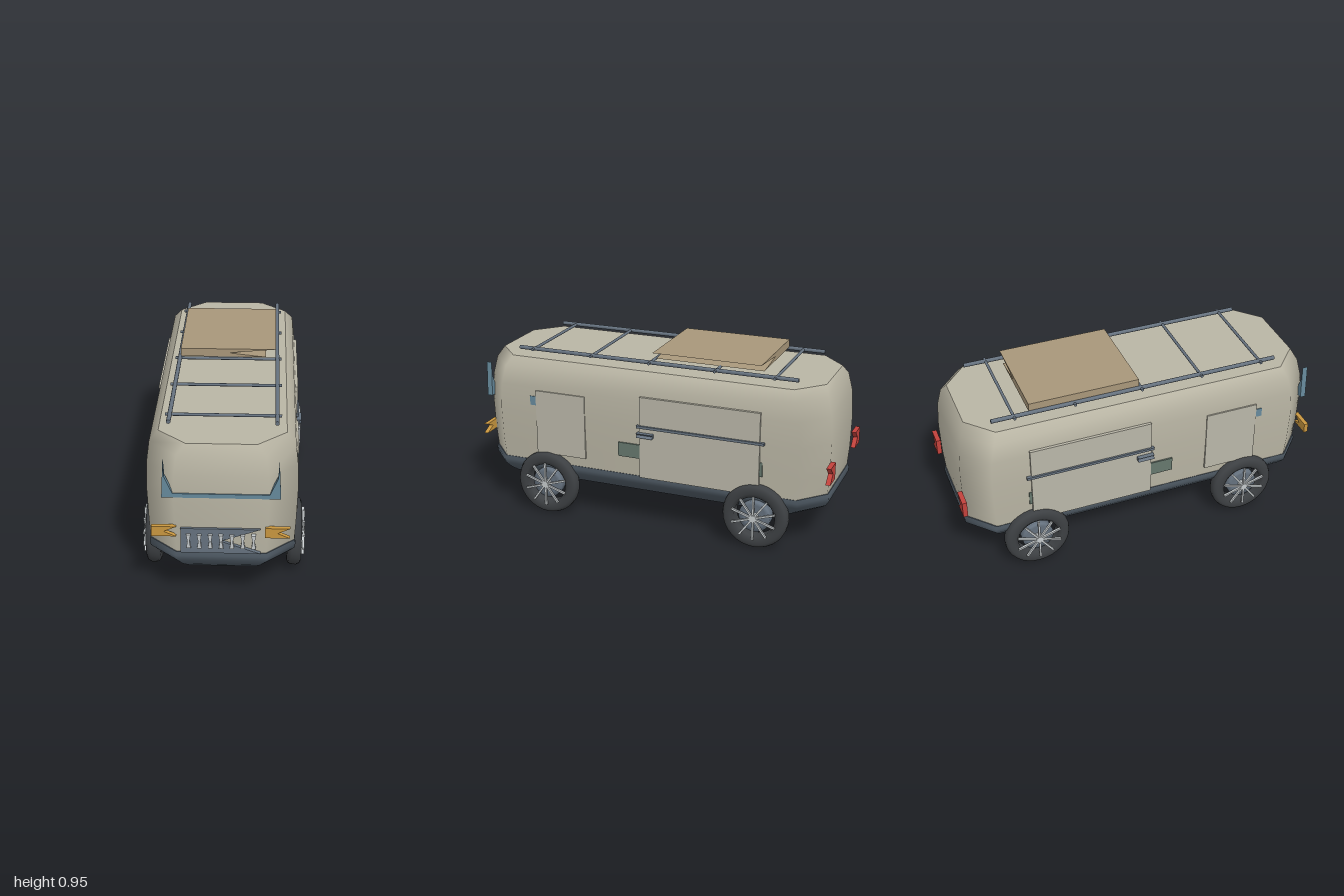
import * as THREE from 'three';

const mat = (color) => new THREE.MeshStandardMaterial({ color, roughness: 0.75, side: THREE.DoubleSide });
const M = {
  body: mat(0xb9b5a4), door: mat(0xb9b6a8), dark: mat(0x4d5862), metal: mat(0x66727f),
  tyre: mat(0x3d4043), spoke: mat(0xc4c9cb), glass: mat(0x66899b), amber: mat(0xc8963f),
  red: mat(0xc2423c), panel: mat(0xa8977a), vent: mat(0x66776d),
};

function add(parent, name, geometry, material, x = 0, y = 0, z = 0) {
  const mesh = new THREE.Mesh(geometry, material);
  mesh.name = name;
  mesh.position.set(x, y, z);
  parent.add(mesh);
  return mesh;
}

// Box given by its limits on each axis
function box(parent, name, material, x0, x1, y0, y1, z0, z1) {
  return add(parent, name, new THREE.BoxGeometry(x1 - x0, y1 - y0, z1 - z0), material,
    (x0 + x1) / 2, (y0 + y1) / 2, (z0 + z1) / 2);
}

// Outline in the xy plane, extruded from z0 to z1
function slab(points, z0, z1) {
  const shape = new THREE.Shape(points.map(([x, y]) => new THREE.Vector2(x, y)));
  return new THREE.ExtrudeGeometry(shape, { depth: z1 - z0, bevelEnabled: false }).translate(0, 0, z0);
}

// Plate whose +x end is notched to its middle
function fishtail(parent, name, material, x0, x1, y0, y1, z0, z1) {
  const tip = [(x0 + x1) / 2, (y0 + y1) / 2];
  return add(parent, name, slab([[x0, y0], [x1, y0], tip, [x1, y1], [x0, y1]], z0, z1), material);
}

// Stack of chamfered rectangles [y, halfWidth, halfLength], capped flat at both ends
function loft(rings) {
  const pos = [], idx = [], cx = 0.14, cz = 0.13, n = 8;
  const ring = ([y, w, l]) => {
    for (const [x, z] of [[w, l - cz], [w - cx, l], [cx - w, l], [-w, l - cz],
      [-w, cz - l], [cx - w, -l], [w - cx, -l], [w, cz - l]]) pos.push(x, y, z);
  };
  rings.forEach(ring);
  for (let r = 0; r < rings.length - 1; r++) {
    for (let i = 0; i < n; i++) {
      const a = r * n + i, b = r * n + (i + 1) % n;
      idx.push(a, a + n, b, b, a + n, b + n);
    }
  }
  for (const top of [false, true]) {
    const s = pos.length / 3;
    ring(top ? rings[rings.length - 1] : rings[0]);
    for (let i = 1; i < n - 1; i++) idx.push(s, s + (top ? i + 1 : i), s + (top ? i : i + 1));
  }
  const g = new THREE.BufferGeometry();
  g.setAttribute('position', new THREE.Float32BufferAttribute(pos, 3));
  g.setIndex(idx);
  g.computeVertexNormals();
  return g;
}

function rod(parent, name, axis, radius, length, material, x, y, z) {
  const g = new THREE.CylinderGeometry(radius, radius, length, 10);
  if (axis === 'x') g.rotateZ(Math.PI / 2);
  else g.rotateX(Math.PI / 2);
  return add(parent, name, g, material, x, y, z);
}

// Wheel around the x axis, outer face on +x
function makeWheel() {
  const wheel = new THREE.Group();
  wheel.name = 'wheel';
  const profile = [[0.11, -0.028], [0.13, -0.037], [0.155, -0.037], [0.17, -0.029], [0.177, -0.013],
    [0.177, 0.013], [0.17, 0.029], [0.155, 0.037], [0.13, 0.037], [0.11, 0.028], [0.11, -0.028]]
    .map(([r, y]) => new THREE.Vector2(r, y));
  add(wheel, 'tyre', new THREE.LatheGeometry(profile, 32).rotateZ(-Math.PI / 2), M.tyre);
  const disc = [[0, -0.02], [0.06, -0.02], [0.085, -0.03], [0.085, 0.025], [0.06, 0.018], [0, 0.018]]
    .map(([r, y]) => new THREE.Vector2(r, y));
  add(wheel, 'rim', new THREE.LatheGeometry(disc, 24).rotateZ(-Math.PI / 2), M.metal);
  rod(wheel, 'axle', 'x', 0.02, 0.108, M.spoke, 0.003, 0, 0);
  for (let i = 0; i < 5; i++) {
    const spoke = add(wheel, 'spoke', new THREE.BoxGeometry(0.012, 0.246, 0.01), M.spoke, 0.048, 0, 0);
    spoke.rotation.x = (i * Math.PI) / 5;
  }
  return wheel;
}

export function createModel() {
  const van = new THREE.Group();
  van.name = 'camperVan';

  // Body shell and dark underbody
  add(van, 'body', loft([[0.27, 0.356, 0.962], [0.4, 0.363, 0.972], [0.58, 0.369, 0.976],
    [0.72, 0.366, 0.968], [0.82, 0.354, 0.945], [0.87, 0.31, 0.92]]), M.body);
  add(van, 'underbody', loft([[0.19, 0.302, 0.925], [0.215, 0.33, 0.952], [0.25, 0.358, 0.972],
    [0.275, 0.363, 0.974], [0.295, 0.36, 0.968]]), M.dark);

  // Windscreen surround
  const half = [[0.285, 0.608], [0.275, 0.8], [0.27, 0.72], [0.232, 0.63]];
  const mirrored = half.map(([x, y]) => [-x, y]).reverse();
  add(van, 'windscreen', slab([...half, ...mirrored], 0.95, 0.979), M.glass);

  // Grille with pinched slats
  fishtail(van, 'grille', M.metal, -0.197, 0.19, 0.303, 0.44, 0.95, 0.986);
  for (let i = 0; i < 7; i++) {
    const x = -0.158 + i * 0.0525;
    add(van, 'grilleSlat', slab([[x - 0.011, 0.338], [x + 0.011, 0.338], [x + 0.005, 0.375],
      [x + 0.011, 0.412], [x - 0.011, 0.412], [x - 0.005, 0.375]], 0.98, 1), M.spoke);
  }

  // Lamps
  for (const x of [-0.338, 0.212]) fishtail(van, 'headlamp', M.amber, x, x + 0.12, 0.396, 0.45, 0.965, 0.988);
  for (const x of [-0.328, 0.222]) fishtail(van, 'tailLamp', M.red, x, x + 0.1, 0.388, 0.478, -1, -0.975);

  // Doors, fittings and wheels, mirrored by a half-group
  for (const s of [1, -1]) {
    const side = new THREE.Group();
    side.name = s > 0 ? 'leftSide' : 'rightSide';
    side.scale.x = s;
    van.add(side);
    box(side, 'frontDoor', M.door, 0.355, 0.374, 0.35, 0.705, 0.34, 0.63);
    box(side, 'slidingDoor', M.door, 0.355, 0.378, 0.295, 0.747, -0.64, 0.02);
    box(side, 'doorRail', M.metal, 0.37, 0.388, 0.577, 0.591, -0.665, 0.035);
    // Handle with a notched outer end
    add(side, 'doorHandle', slab([[0.37, 0.53], [0.403, 0.53], [0.388, 0.541], [0.403, 0.553],
      [0.37, 0.553]], -0.06, 0.03), M.metal);
    box(side, 'sideVent', M.vent, 0.355, 0.374, 0.4, 0.478, 0.02, 0.145);
    box(side, 'rearVent', M.vent, 0.355, 0.37, 0.4, 0.478, -0.655, -0.63);
    box(side, 'windowEdge', M.glass, 0.355, 0.371, 0.62, 0.67, 0.62, 0.665);
    for (const z of [0.57, -0.625]) {
      const wheel = makeWheel();
      wheel.position.set(0.362, 0.18, z);
      side.add(wheel);
    }
    // Roof rail
    rod(side, 'roofRail', 'z', 0.011, 1.57, M.metal, 0.262, 0.905, -0.015);
  }

  // Roof crossbars and the tilted-looking roof panel
  for (const z of [0.685, 0.34, 0.005, -0.36, -0.68]) {
    rod(van, 'crossbar', 'x', 0.008, 0.57, M.metal, 0, 0.904, z);
  }
  add(van, 'roofPanel', slab([[-0.257, 0.91], [0.2, 0.91], [0, 0.932], [0.255, 0.955], [-0.257, 0.955]],
    -0.6, -0.005), M.panel);

  return van;
}
